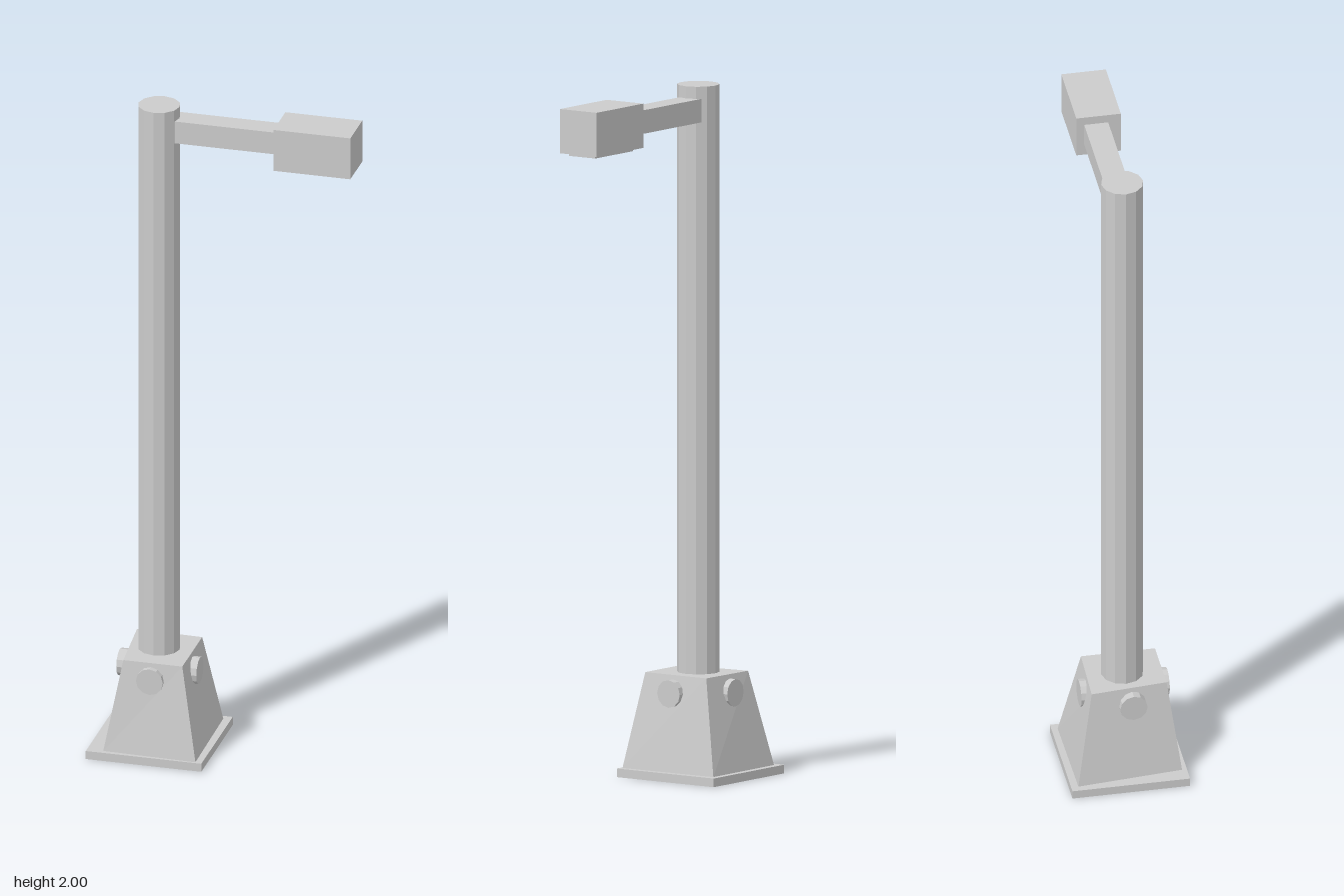
import * as THREE from 'three';

const material = new THREE.MeshStandardMaterial({ color: 0xcccccc, flatShading: true });

function addMesh(parent, name, geometry, x = 0, y = 0, z = 0) {
  const mesh = new THREE.Mesh(geometry, material);
  mesh.name = name;
  mesh.position.set(x, y, z);
  parent.add(mesh);
  return mesh;
}

// Box given by its lowest and highest corners
function addBox(parent, name, [x0, y0, z0], [x1, y1, z1]) {
  const geometry = new THREE.BoxGeometry(x1 - x0, y1 - y0, z1 - z0);
  return addMesh(parent, name, geometry, (x0 + x1) / 2, (y0 + y1) / 2, (z0 + z1) / 2);
}

// Box whose corners move to two uneven quads, each listed
// back right, back left, front right, front left as [x, z]
function taperedBlock(bottom, top, y0, y1) {
  const geometry = new THREE.BoxGeometry(1, 1, 1);
  const p = geometry.attributes.position;
  for (let i = 0; i < p.count; i++) {
    const corner = (p.getX(i) > 0 ? 1 : 0) + (p.getZ(i) > 0 ? 2 : 0);
    const up = p.getY(i) > 0;
    const [x, z] = (up ? top : bottom)[corner];
    p.setXYZ(i, x, up ? y1 : y0, z);
  }
  geometry.computeVertexNormals();
  return geometry;
}

export function createModel() {
  const model = new THREE.Group();
  model.name = 'streetLamp';

  // Footing: plate and slightly uneven tapered block
  addBox(model, 'basePlate', [-0.38, 0, -0.173], [-0.037, 0.025, 0.17]);
  addMesh(model, 'baseBlock', taperedBlock(
    [[-0.36, -0.152], [-0.06, -0.155], [-0.332, 0.156], [-0.056, 0.164]],
    [[-0.302, -0.102], [-0.107, -0.096], [-0.282, 0.12], [-0.107, 0.12]],
    0.024, 0.3));

  // Round bolt on each side of the footing: outer face centre and turn about y
  const depth = 0.04;
  const boltGeometry = new THREE.CylinderGeometry(0.04, 0.04, depth, 12);
  boltGeometry.rotateX(Math.PI / 2).translate(0, 0, -depth / 2);
  const bolts = [
    ['frontBolt', -0.2, 0.138, 0],
    ['leftBolt', -0.082, 0.02, Math.PI / 2],
    ['backBolt', -0.213, -0.122, Math.PI],
    ['rightBolt', -0.32, 0.018, -Math.PI / 2],
  ];
  for (const [name, x, z, turn] of bolts) {
    addMesh(model, name, boltGeometry, x, 0.248, z).rotation.y = turn;
  }

  // Pole
  addMesh(model, 'pole', new THREE.CylinderGeometry(0.061, 0.061, 1.71, 12), -0.207, 1.145, 0.005);

  // Arm with lamp head and its light panel underneath
  addBox(model, 'arm', [-0.19, 1.897, -0.037], [0.16, 1.965, 0.033]);
  addBox(model, 'lampHead', [0.15, 1.862, -0.06], [0.378, 1.99, 0.07]);
  addBox(model, 'lightPanel', [0.175, 1.854, -0.042], [0.36, 1.87, 0.05]);

  return model;
}
